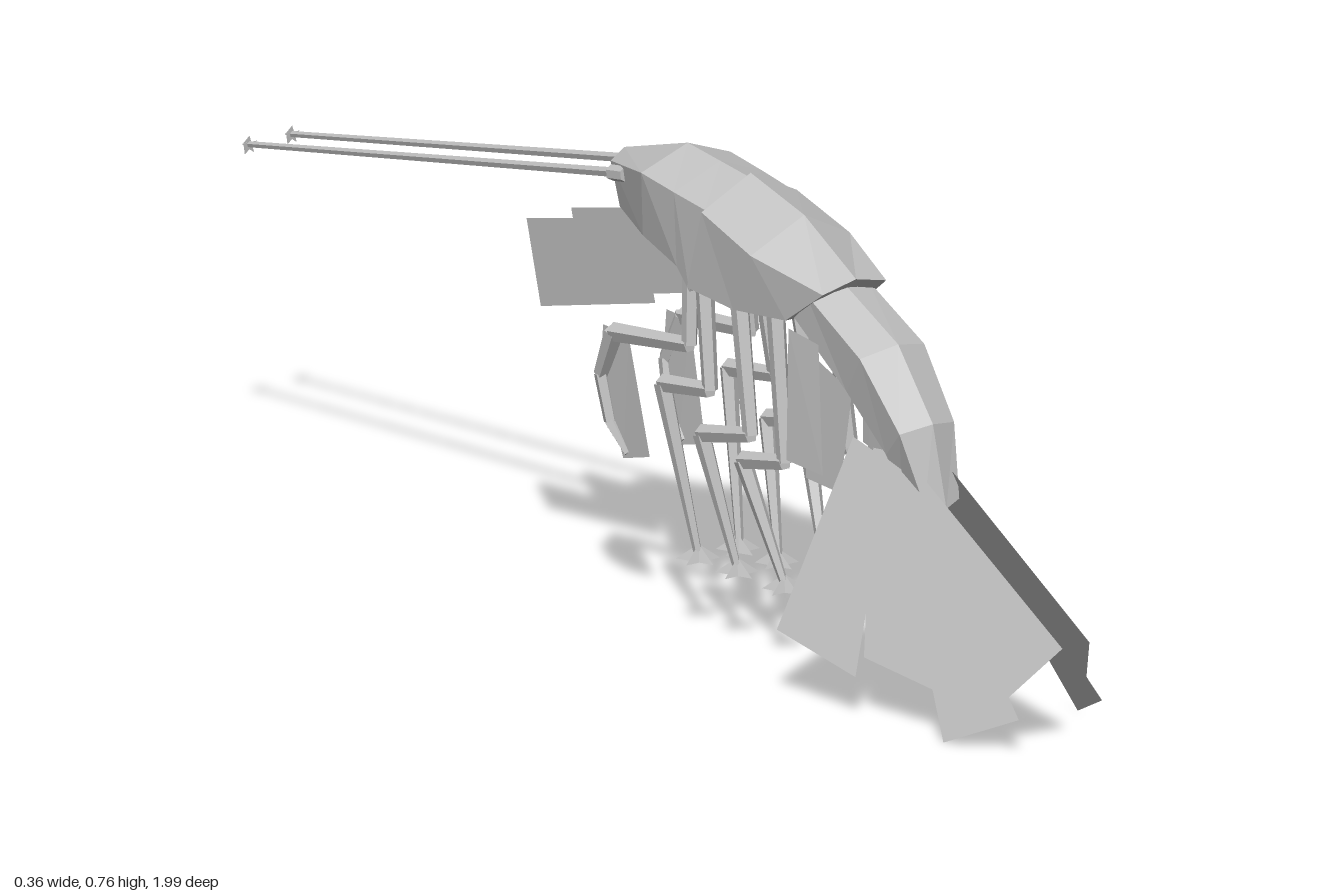
import * as THREE from 'three';

const shell = new THREE.MeshStandardMaterial({ color: 0xbfbfbf, flatShading: true, side: THREE.DoubleSide });
shell.name = 'grey shell';

function meshOf(geometry, name) {
  const mesh = new THREE.Mesh(geometry, shell);
  mesh.name = name;
  return mesh;
}

// Mesh from triangles or convex polygons given as lists of [x, y, z]
function polygons(faces, name) {
  const out = [];
  for (const f of faces)
    for (let i = 1; i < f.length - 1; i++) out.push(...f[0], ...f[i], ...f[i + 1]);
  const g = new THREE.BufferGeometry();
  g.setAttribute('position', new THREE.Float32BufferAttribute(out, 3));
  g.computeVertexNormals();
  return meshOf(g, name);
}

// Faceted body segment; each ring is ridge [y, z], shoulder [x, y, z], belly edge [x, y, z]
function segment(rings, name) {
  const loops = rings.map(([r, s, b]) => [
    [0, r[0], r[1]], [-s[0], s[1], s[2]], [-b[0], b[1], b[2]],
    [0, b[1], b[2]], [b[0], b[1], b[2]], [s[0], s[1], s[2]],
  ]);
  const faces = [];
  for (let k = 0; k < loops.length - 1; k++)
    for (let i = 0; i < 6; i++) {
      const j = (i + 1) % 6;
      faces.push([loops[k][i], loops[k][j], loops[k + 1][j], loops[k + 1][i]]);
    }
  faces.push([...loops[0]].reverse(), loops[loops.length - 1]);
  return polygons(faces, name);
}

// Tapered rod between two points
function rod(a, b, ra, rb, sides, name) {
  const p = new THREE.Vector3(...a), q = new THREE.Vector3(...b);
  const d = q.clone().sub(p);
  const m = meshOf(new THREE.CylinderGeometry(rb, ra, d.length(), sides), name);
  m.position.copy(p).add(q).multiplyScalar(0.5);
  m.quaternion.setFromUnitVectors(new THREE.Vector3(0, 1, 0), d.normalize());
  return m;
}

// Low star-shaped cone with pointed toes
function star(r, h, at, name) {
  const g = new THREE.ConeGeometry(r, h, 10);
  const p = g.attributes.position;
  for (let i = 0; i < p.count; i++) {
    const x = p.getX(i), z = p.getZ(i);
    const step = Math.round(Math.atan2(x, z) / (Math.PI / 5));
    if (step % 2 !== 0) { p.setX(i, x * 0.4); p.setZ(i, z * 0.4); }
  }
  g.computeVertexNormals();
  const m = meshOf(g, name);
  m.position.set(...at);
  return m;
}

function jointed(points, radii, name) {
  const g = new THREE.Group();
  g.name = name;
  for (let i = 0; i < points.length - 1; i++)
    g.add(rod(points[i], points[i + 1], radii[i], radii[i + 1], 5, name + 'Joint'));
  return g;
}

function side(s) {
  const g = new THREE.Group();
  g.name = s > 0 ? 'leftSide' : 'rightSide';
  const at = (x, y, z) => [s * x, y, z];

  // Antenna with a starred tip
  g.add(rod(at(0.05, 0.705, -0.04), at(0.05, 0.7, -0.075), 0.013, 0.013, 6, 'antennaBase'));
  g.add(rod(at(0.05, 0.705, -0.05), at(0.043, 0.535, -0.975), 0.008, 0.005, 5, 'antenna'));
  const tip = star(0.016, 0.015, at(0.043, 0.534, -0.978), 'antennaTip');
  tip.rotation.x = -Math.PI / 2;
  g.add(tip);

  // Head plate
  g.add(polygons([[at(0.045, 0.64, -0.01), at(0.045, 0.575, -0.29),
    at(0.045, 0.44, -0.255), at(0.045, 0.51, 0.025)]], 'headPlate'));

  // Walking legs: hip, knee, shin and ankle as [y, z]
  const legs = [
    [[0.6, 0.33], [0.335, 0.368], [0.315, 0.265], [0.13, 0.335]],
    [[0.6, 0.24], [0.36, 0.285], [0.335, 0.165], [0.13, 0.22]],
    [[0.61, 0.155], [0.41, 0.185], [0.395, 0.07], [0.13, 0.125]],
  ];
  const legX = [0.055, 0.066, 0.066, 0.042];
  for (const leg of legs) {
    g.add(jointed(leg.map((p, i) => at(legX[i], ...p)), [0.016, 0.013, 0.015, 0.007], 'leg'));
    g.add(star(0.036, 0.026, at(0.04, 0.128, leg[3][1]), 'foot'));
  }

  // Folded front arm and its blade
  const arm = [[0.62, 0.12], [0.47, 0.13], [0.452, -0.045], [0.375, -0.083], [0.3, -0.066], [0.255, -0.03]];
  const armX = [0.05, 0.062, 0.07, 0.065, 0.06, 0.055];
  g.add(jointed(arm.map((p, i) => at(armX[i], ...p)), [0.014, 0.013, 0.016, 0.012, 0.011, 0.006], 'arm'));
  g.add(polygons([[at(0.062, 0.452, -0.02), at(0.064, 0.455, -0.08), at(0.062, 0.38, -0.085),
    at(0.056, 0.245, -0.04), at(0.056, 0.262, 0.025)]], 'armBlade'));

  // Hanging plates under the abdomen
  g.add(polygons([[at(0.077, 0.56, 0.39), at(0.066, 0.545, 0.45),
    at(0.066, 0.335, 0.46), at(0.077, 0.345, 0.385)]], 'abdomenPlate'));
  g.add(polygons([[at(0.065, 0.53, 0.42), at(0.052, 0.48, 0.515),
    at(0.052, 0.31, 0.485), at(0.062, 0.32, 0.415)]], 'abdomenPlate'));

  // Tail fan: blades lying on one slanting plane, outline as [y, z]
  const blades = [
    [[0.375, 0.655], [0.33, 0.69], [0.172, 1.0], [0.08, 0.925], [0.35, 0.62]],
    [[0.39, 0.625], [0.35, 0.65], [0.058, 0.962], [0.003, 0.84], [0.38, 0.59]],
    [[0.4, 0.59], [0.38, 0.62], [0.07, 0.825], [0.1, 0.655], [0.4, 0.56]],
    [[0.385, 0.6], [0.07, 0.652], [0.113, 0.487], [0.41, 0.52]],
  ];
  blades.forEach((b, i) => g.add(polygons(
    [b.map(([y, z]) => at(0.337 - 0.4 * y - 0.241 * z + 0.002 * i, y, z))], 'tailBlade')));
  return g;
}

export function createModel() {
  const model = new THREE.Group();
  model.name = 'crustacean';

  // Head, thorax and bent abdomen
  model.add(segment([
    [[0.725, -0.105], [0.032, 0.71, -0.1], [0.03, 0.64, -0.08]],
    [[0.768, 0.05], [0.09, 0.735, 0.045], [0.07, 0.625, 0.025]],
    [[0.757, 0.13], [0.09, 0.722, 0.125], [0.082, 0.6, 0.122]],
    [[0.747, 0.202], [0.088, 0.71, 0.198], [0.085, 0.567, 0.157]],
  ], 'head'));
  model.add(segment([
    [[0.755, 0.204], [0.096, 0.708, 0.2], [0.09, 0.575, 0.157]],
    [[0.717, 0.335], [0.1, 0.667, 0.325], [0.09, 0.565, 0.27]],
    [[0.642, 0.462], [0.064, 0.627, 0.458], [0.075, 0.57, 0.38]],
  ], 'thorax'));
  model.add(segment([
    [[0.635, 0.42], [0.062, 0.618, 0.415], [0.06, 0.575, 0.38]],
    [[0.56, 0.565], [0.065, 0.545, 0.55], [0.055, 0.48, 0.505]],
    [[0.45, 0.65], [0.055, 0.44, 0.635], [0.045, 0.395, 0.59]],
    [[0.32, 0.683], [0.035, 0.328, 0.672], [0.03, 0.335, 0.61]],
  ], 'abdomen'));

  for (const s of [1, -1]) model.add(side(s));
  return model;
}
